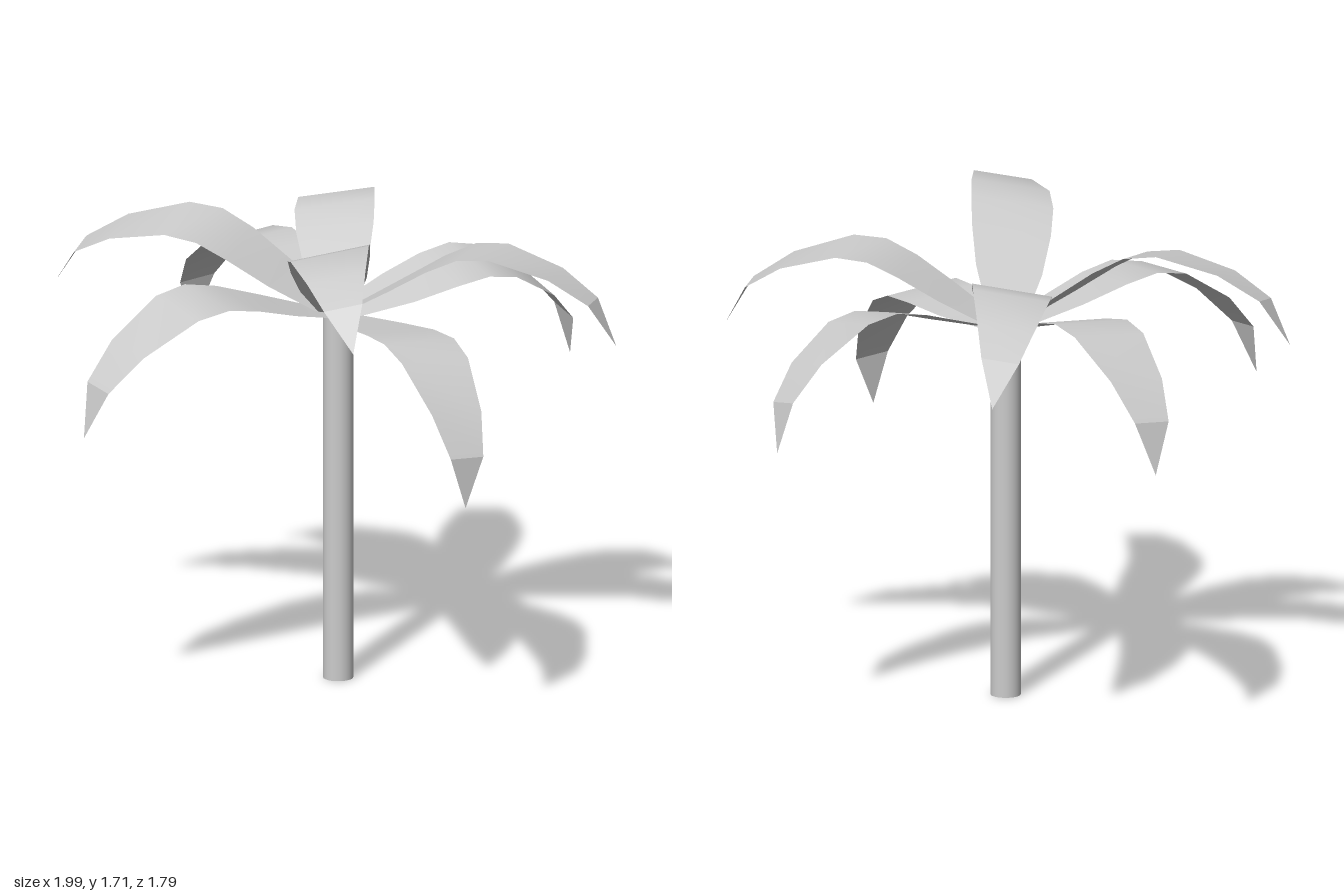
import * as THREE from 'three';
import { toCreasedNormals } from 'three/addons/utils/BufferGeometryUtils.js';

const TRUNK_HEIGHT = 1.31;

// Frond cross-sections: [distance out, height, half width]
const SECTIONS = [
  [0, 0, 0.03], [0.05, 0.025, 0.065], [0.21, 0.117, 0.114], [0.35, 0.2, 0.136],
  [0.46, 0.25, 0.141], [0.575, 0.257, 0.134], [0.78, 0.192, 0.1], [0.915, 0.103, 0.066],
];
const TIP = [0, -0.05, 1.0];

// Per frond, in degrees: [heading, pitch, roll, scale]
const FRONDS = [
  [103, 0.5, -3, 1], [58, -25, -5, 1.01], [30.5, 11.5, 11, 1.03], [-31.5, -13.5, -4, 1.06],
  [-80, 4, -9, 1.03], [-122, -13.5, -5, 1.05], [-155.5, 1.5, -9, 1.0], [151, -14.5, 11, 1.01],
];

// Arched strip along +z ending in a folded, pointed tip
function frondGeometry() {
  const points = [];
  const index = [];
  SECTIONS.forEach(([z, y, w], i) => {
    points.push(-w, y, z, w, y, z);
    const a = 2 * i;
    if (i < SECTIONS.length - 1) index.push(a, a + 2, a + 3, a, a + 3, a + 1);
    else index.push(a, a + 2, a + 1);
  });
  points.push(...TIP);
  const geometry = new THREE.BufferGeometry();
  geometry.setAttribute('position', new THREE.Float32BufferAttribute(points, 3));
  geometry.setIndex(index);
  return toCreasedNormals(geometry, THREE.MathUtils.degToRad(25));
}

export function createModel() {
  const model = new THREE.Group();
  model.name = 'palmTree';

  // Trunk
  const trunk = new THREE.Mesh(
    new THREE.CylinderGeometry(0.053, 0.053, TRUNK_HEIGHT, 24),
    new THREE.MeshStandardMaterial({ color: 0xcccccc }),
  );
  trunk.name = 'trunk';
  trunk.position.set(0.024, TRUNK_HEIGHT / 2, 0.023);
  model.add(trunk);

  // Crown of fronds, one shared leaf turned and tilted
  const crown = new THREE.Group();
  crown.name = 'crown';
  crown.position.set(0.02, TRUNK_HEIGHT + 0.003, 0.018);
  const geometry = frondGeometry();
  const leafMaterial = new THREE.MeshStandardMaterial({ color: 0xcccccc, side: THREE.DoubleSide });
  const rad = THREE.MathUtils.degToRad;
  FRONDS.forEach(([heading, pitch, roll, scale], i) => {
    const frond = new THREE.Mesh(geometry, leafMaterial);
    frond.name = `frond${i + 1}`;
    frond.rotation.set(rad(-pitch), rad(heading), rad(roll), 'YXZ');
    frond.scale.setScalar(scale);
    crown.add(frond);
  });
  model.add(crown);
  return model;
}
